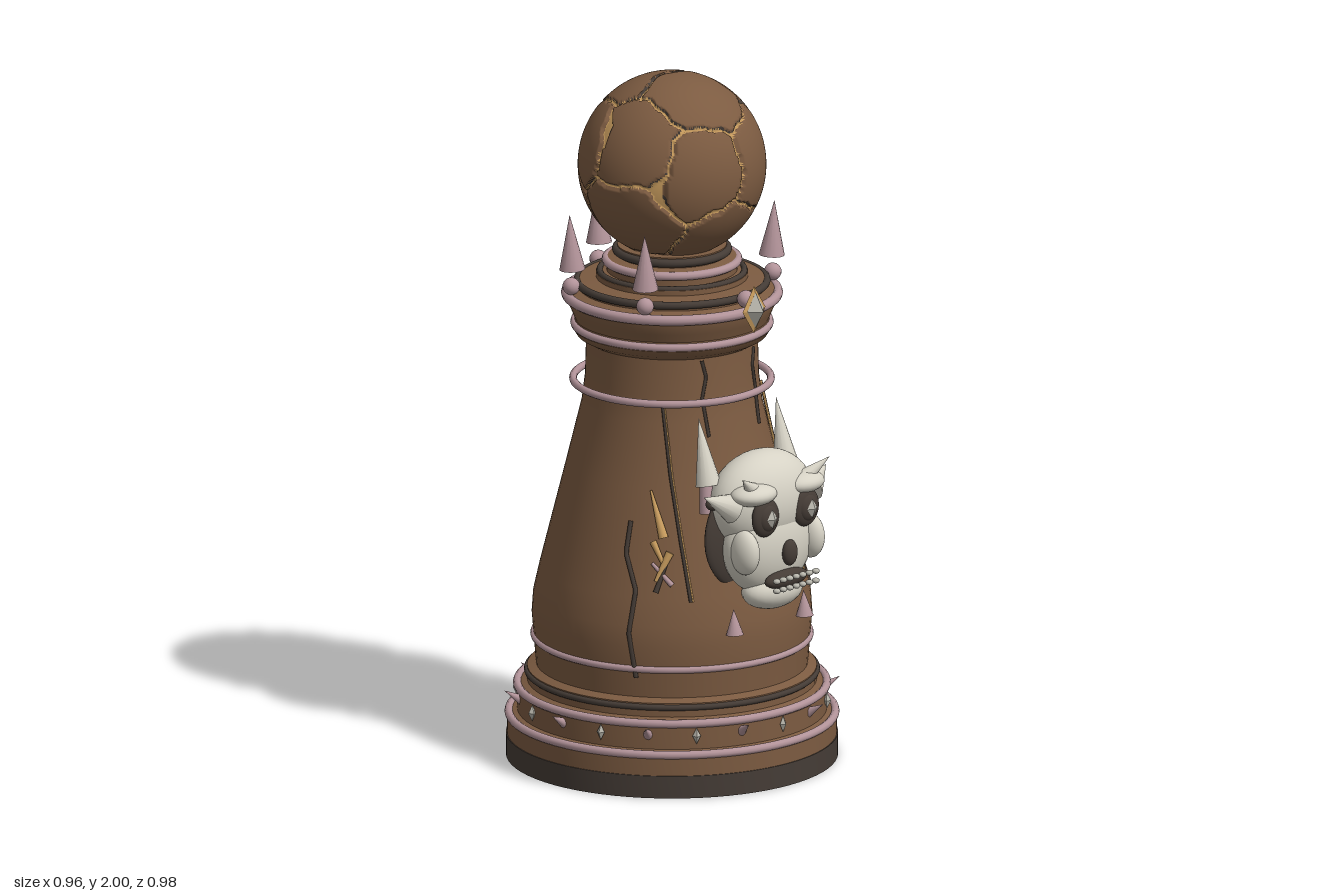
import * as THREE from 'three';
import { toCreasedNormals } from 'three/addons/utils/BufferGeometryUtils.js';

const mat = (name, color) => {
  const m = new THREE.MeshStandardMaterial({ color });
  m.name = name;
  return m;
};
const V = (x, y, z) => new THREE.Vector3(x, y, z);

export function createModel() {
  const wood = mat('brown', 0x7c5b41), pink = mat('dusty pink', 0xb3949a), dark = mat('charcoal brown', 0x453c36),
    bone = mat('bone', 0xd6d2c5), gold = mat('gold', 0xc89c5e), silver = mat('silver', 0xbab8ae);
  const model = new THREE.Group();
  const tower = new THREE.Group();
  tower.name = 'tower';
  tower.position.z = -0.016;
  const skull = new THREE.Group();
  skull.name = 'skull';
  model.add(tower, skull);

  const add = (parent, name, geo, material, pos) => {
    const m = new THREE.Mesh(geo, material);
    m.name = name;
    if (pos) m.position.copy(pos);
    parent.add(m);
    return m;
  };
  const lathe = (name, material, pts) => add(tower, name, toCreasedNormals(
    new THREE.LatheGeometry(pts.map(p => new THREE.Vector2(p[0], p[1])), 72), 0.5), material);
  const ring = (name, material, r, y, tube) =>
    add(tower, name, new THREE.TorusGeometry(r, tube, 10, 72).rotateX(Math.PI / 2), material, V(0, y, 0));
  const ball = (parent, name, material, pos, rx, ry, rz, seg = 24) =>
    add(parent, name, new THREE.SphereGeometry(1, seg, Math.ceil(seg * 0.7)).scale(rx, ry, rz), material, pos);
  const spike = (parent, name, material, base, tip, r, rTip = 0) => {
    const d = tip.clone().sub(base);
    const m = add(parent, name, new THREE.CylinderGeometry(rTip, r, d.length(), 14), material,
      base.clone().add(tip).multiplyScalar(0.5));
    m.quaternion.setFromUnitVectors(V(0, 1, 0), d.normalize());
    return m;
  };
  const around = (deg, r, y) => V(Math.sin(deg * Math.PI / 180) * r, y, Math.cos(deg * Math.PI / 180) * r);

  // Base, tapering body and collar
  lathe('baseFoot', dark, [[0, 0], [0.47, 0], [0.47, 0.065], [0, 0.065]]);
  lathe('baseDrum', wood, [[0.467, 0.065], [0.467, 0.125], [0.438, 0.135], [0.438, 0.21], [0.41, 0.222],
    [0.41, 0.262], [0.385, 0.272]]);
  const profile = [[0.385, 0.27], [0.392, 0.36], [0.397, 0.42], [0.393, 0.48], [0.375, 0.56], [0.3, 0.86],
    [0.256, 1.04], [0.246, 1.12], [0.243, 1.23]];
  lathe('body', wood, profile);
  lathe('collar', wood, [[0.243, 1.225], [0.27, 1.24], [0.283, 1.26], [0.275, 1.285], [0.285, 1.31], [0.3, 1.345],
    [0.3, 1.365], [0.265, 1.375], [0.265, 1.4], [0.215, 1.405], [0.215, 1.42], [0.185, 1.425], [0.185, 1.465],
    [0.155, 1.47], [0.155, 1.5], [0, 1.5]]);
  [[0.462, 0.125, 0.012], [0.438, 0.21, 0.012], [0.391, 0.355, 0.01], [0.28, 1.105, 0.011], [0.276, 1.27, 0.012],
    [0.299, 1.357, 0.015], [0.187, 1.455, 0.012]].forEach(a => ring('pinkRing', pink, ...a));
  [[0.41, 0.25, 0.009], [0.268, 1.392, 0.011], [0.205, 1.422, 0.009], [0.158, 1.485, 0.012]]
    .forEach(a => ring('darkRing', dark, ...a));

  // Alternating gems and thorns round the base
  for (let i = 0; i < 10; i++) {
    const gem = add(tower, 'baseGem', new THREE.OctahedronGeometry(1).scale(0.012, 0.024, 0.012), silver,
      around(i * 36, 0.444, 0.175));
    gem.rotation.y = i * Math.PI / 5;
    spike(tower, 'baseThorn', pink, around(i * 36 + 18, 0.43, 0.175), around(i * 36 + 18, 0.48, 0.205), 0.015);
  }

  // Crown beads and spikes, with a jewel in front
  for (let i = 0; i < 6; i++) {
    ball(tower, 'crownBead', pink, around(i * 60, 0.295, 1.395), 0.025, 0.025, 0.025, 16);
    if (i) spike(tower, 'crownSpike', pink, around(i * 60, 0.292, 1.445), around(i * 60, 0.3, 1.605), 0.037);
  }
  add(tower, 'jewelSetting', new THREE.OctahedronGeometry(1).scale(0.046, 0.07, 0.018), gold, V(0, 1.37, 0.328));
  add(tower, 'jewel', new THREE.OctahedronGeometry(1).scale(0.033, 0.052, 0.032), silver, V(0, 1.37, 0.334));

  // Cracks that follow the body surface, as [degrees from front, height]
  const radiusAt = y => {
    const i = Math.max(1, profile.findIndex(p => p[1] >= y));
    const [a, b] = [profile[i - 1], profile[i]];
    return a[0] + (b[0] - a[0]) * (y - a[1]) / (b[1] - a[1]);
  };
  const crack = (name, material, pts, w) => {
    const path = new THREE.CurvePath();
    const p = pts.map(([a, y]) => around(a, radiusAt(y) + 0.002, y));
    for (let i = 1; i < p.length; i++) path.add(new THREE.LineCurve3(p[i - 1], p[i]));
    add(tower, name, new THREE.TubeGeometry(path, 28, w, 6), material);
  };
  crack('crack', dark, [[74, 0.86], [65, 0.7], [64, 0.62], [61, 0.54], [58, 0.48], [57, 0.37]], 0.007);
  crack('crackBranch', dark, [[62, 0.56], [53, 0.49]], 0.006);
  crack('crack', dark, [[-66, 0.77], [-67, 0.68], [-61, 0.58], [-63, 0.46], [-60, 0.33]], 0.007);
  for (const s of [-1, 1]) {
    crack('neckCrack', dark, [[s * 25, 1.22], [s * 22, 1.17], [s * 25, 1.11], [s * 22, 1.0]], 0.005);
    crack('seam', dark, [[s * 51, 1.09], [s * 46, 0.9], [s * 41, 0.72], [s * 37, 0.55]], 0.005);
    crack('goldSeam', gold, [[s * 50, 1.09], [s * 45, 0.9], [s * 40, 0.72], [s * 36, 0.55]], 0.003);
    // Gold splinters and pink pins beside the skull
    const side = (a, y, lift = 0.012) => around(s * a, radiusAt(y) + lift, y);
    spike(tower, 'splinter', gold, side(49, 0.73), side(56, 0.86), 0.014, 0.003);
    spike(tower, 'splinter', gold, side(46, 0.69), side(52, 0.61), 0.012, 0.006);
    spike(tower, 'splinter', gold, side(54, 0.72), side(49, 0.66), 0.01, 0.006);
    spike(tower, 'pin', pink, side(45, 0.6), side(54, 0.66), 0.008, 0.005);
    spike(tower, 'pin', dark, side(52, 0.58), side(47, 0.67), 0.008, 0.005);
  }

  // Skull on its dark backing
  ball(skull, 'backing', dark, V(0, 0.73, 0.32), 0.205, 0.18, 0.03, 32);
  ball(skull, 'cranium', bone, V(0, 0.82, 0.34), 0.18, 0.145, 0.11, 32);
  ball(skull, 'face', bone, V(0, 0.7, 0.365), 0.16, 0.15, 0.085, 32);
  ball(skull, 'jaw', bone, V(0, 0.565, 0.385), 0.105, 0.055, 0.065);
  ball(skull, 'nose', dark, V(0, 0.685, 0.455), 0.026, 0.038, 0.018);
  ball(skull, 'mouth', dark, V(0, 0.607, 0.44), 0.082, 0.027, 0.026);
  for (let i = -3; i <= 3; i++)
    for (const y of [0.592, 0.62]) ball(skull, 'tooth', silver, V(i * 0.026, y, 0.481), 0.011, 0.008, 0.011, 12);
  for (const s of [-1, 1]) {
    ball(skull, 'brow', bone, V(s * 0.095, 0.865, 0.405), 0.075, 0.032, 0.058);
    ball(skull, 'cheek', bone, V(s * 0.13, 0.7, 0.405), 0.034, 0.065, 0.05);
    ball(skull, 'eyeSocket', dark, V(s * 0.08, 0.8, 0.437), 0.05, 0.057, 0.022);
    ball(skull, 'eyeRim', dark, V(s * 0.08, 0.8, 0.447), 0.035, 0.04, 0.018);
    add(skull, 'eyeGem', new THREE.OctahedronGeometry(1).scale(0.02, 0.028, 0.012), silver, V(s * 0.08, 0.8, 0.465));
    spike(skull, 'tallHorn', bone, V(s * 0.155, 0.88, 0.285), V(s * 0.155, 1.07, 0.245), 0.037);
    spike(skull, 'hornRoot', pink, V(s * 0.165, 0.8, 0.29), V(s * 0.16, 0.93, 0.275), 0.022, 0.016);
    spike(skull, 'sideHorn', bone, V(s * 0.15, 0.83, 0.38), V(s * 0.245, 0.875, 0.355), 0.045);
    spike(skull, 'browHorn', bone, V(s * 0.1, 0.875, 0.41), V(s * 0.175, 0.93, 0.44), 0.026);
    spike(skull, 'lowerThorn', pink, V(s * 0.14, 0.455, 0.375), V(s * 0.14, 0.53, 0.37), 0.025);
    ball(skull, 'templeStud', dark, V(s * 0.18, 0.84, 0.33), 0.028, 0.02, 0.016);
  }

  // Cracked globe: plates divided by sunken gold seams
  const cells = [[-0.14, 0.87, -0.47], [-0.04, 0.92, 0.4], [0.85, 0.5, -0.1], [0.45, 0.4, -0.8], [-0.85, 0.45, 0.3],
    [-0.72, 0.35, -0.6], [-0.45, 0.12, 0.88], [0.55, 0.1, 0.83], [0.02, -0.7, 0.72], [0.88, -0.4, 0.25],
    [-0.82, -0.45, 0.2], [0.6, -0.4, -0.7], [-0.4, -0.35, -0.85], [0, -1, -0.1]].map(c => V(...c).normalize());
  const wide = [[-0.75, -0.1, 0.62], [0.5, 0.6, -0.6], [0.75, 0.2, -0.62], [-0.8, 0.5, -0.1]]
    .map(c => V(...c).normalize());
  const seamAt = n => {
    const q = V(n.x + 0.04 * Math.sin(9 * n.y + 4 * n.z) + 0.015 * Math.sin(27 * n.z),
      n.y + 0.04 * Math.sin(8 * n.z + 5 * n.x) + 0.015 * Math.sin(25 * n.x),
      n.z + 0.04 * Math.sin(10 * n.x + 3 * n.y) + 0.015 * Math.sin(29 * n.y)).normalize();
    const d = cells.map((c, i) => [q.distanceTo(c), i]).sort((a, b) => a[0] - b[0]);
    const spread = Math.max(...wide.map(w => Math.exp(-40 * w.distanceToSquared(n))));
    return { gap: (d[1][0] - d[0][0]) / (1 + 3 * spread), upper: d[0][1] < d[1][1] };
  };
  const globe = new THREE.SphereGeometry(1, 240, 140);
  const pos = globe.attributes.position, n = new THREE.Vector3();
  for (let i = 0; i < pos.count; i++) {
    n.fromBufferAttribute(pos, i).normalize();
    n.multiplyScalar(seamAt(n).gap < 0.04 ? 0.258 : 0.267);
    pos.setXYZ(i, n.x, n.y, n.z);
  }
  globe.computeVertexNormals();
  const parts = [[], [], []], idx = globe.index.array, v = new THREE.Vector3();
  for (let i = 0; i < idx.length; i += 3) {
    n.set(0, 0, 0);
    for (let k = 0; k < 3; k++) n.add(v.fromBufferAttribute(pos, idx[i + k]));
    const { gap, upper } = seamAt(n.normalize());
    parts[gap < 0.028 ? 1 : gap < 0.048 && upper ? 2 : 0].push(idx[i], idx[i + 1], idx[i + 2]);
  }
  globe.setIndex(parts.flat());
  globe.clearGroups();
  let start = 0;
  parts.forEach((p, i) => {
    globe.addGroup(start, p.length, i);
    start += p.length;
  });
  add(tower, 'crackedGlobe', globe, [wood, gold, dark], V(0, 1.733, 0));
  return model;
}
